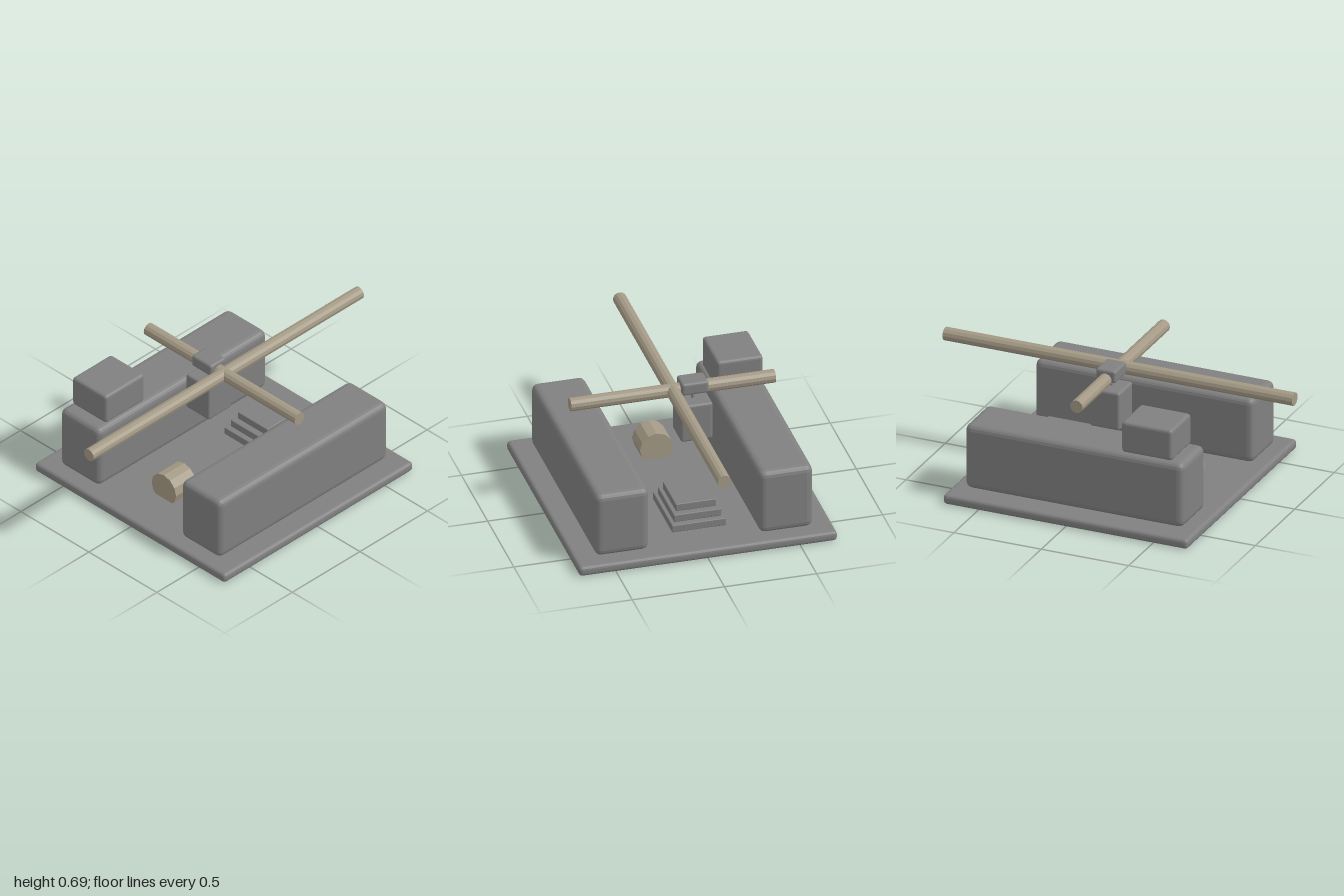
import * as THREE from 'three';
import { RoundedBoxGeometry } from 'three/addons/geometries/RoundedBoxGeometry.js';

export function createModel() {
  const group = new THREE.Group();
  const stone = new THREE.MeshStandardMaterial({ color: 0x808080, flatShading: true });
  stone.name = 'grey stone';
  const wood = new THREE.MeshStandardMaterial({ color: 0xa39985, flatShading: true });
  wood.name = 'pale wood';

  function add(name, geometry, material, x, y, z) {
    const mesh = new THREE.Mesh(geometry, material);
    mesh.name = name;
    mesh.position.set(x, y, z);
    group.add(mesh);
    return mesh;
  }
  // Bevelled block given by its size, centre and bevel radius
  const block = (name, [w, h, d], [x, y, z], r) =>
    add(name, new RoundedBoxGeometry(w, h, d, 2, r), stone, x, y, z);
  // Round log lying along x or z
  function log(name, radius, length, axis, x, y, z) {
    const g = new THREE.CylinderGeometry(radius, radius, length, 12);
    if (axis === 'x') g.rotateZ(Math.PI / 2);
    else g.rotateX(Math.PI / 2);
    return add(name, g, wood, x, y, z);
  }

  // Floor slab and the two long walls
  block('floorSlab', [1.4, 0.055, 1.4], [0, 0.0315, 0], 0.02);
  for (const [name, side] of [['frontWall', 1], ['backWall', -1]]) {
    block(name, [1.25, 0.366, 0.29], [0, 0.247, side * 0.445], 0.035);
  }
  // Block standing on the back wall
  block('cornerBlock', [0.29, 0.175, 0.25], [-0.408, 0.518, -0.445], 0.018);

  // Stepped stack
  [[0.37, 0.294], [0.315, 0.258], [0.25, 0.22]].forEach(([w, d], i) => {
    block('stackTier' + (i + 1), [w, 0.043, d], [0.335, 0.108 + i * 0.0445, 0], 0.005);
  });

  // Short log on the floor
  log('floorLog', 0.09, 0.15, 'x', -0.37, 0.12, 0);

  // Crossed beams with the hanging weight
  log('longBeam', 0.036, 2, 'x', 0, 0.635, 0);
  log('crossBeam', 0.036, 1.11, 'z', 0, 0.635, 0);
  block('beamCollar', [0.113, 0.07, 0.145], [0, 0.655, -0.112], 0.014);
  block('hangingWeight', [0.173, 0.216, 0.173], [0, 0.468, -0.112], 0.014);
  add('hangingRod', new THREE.CylinderGeometry(0.009, 0.009, 0.08, 8), stone, 0, 0.6, -0.112);

  return group;
}
